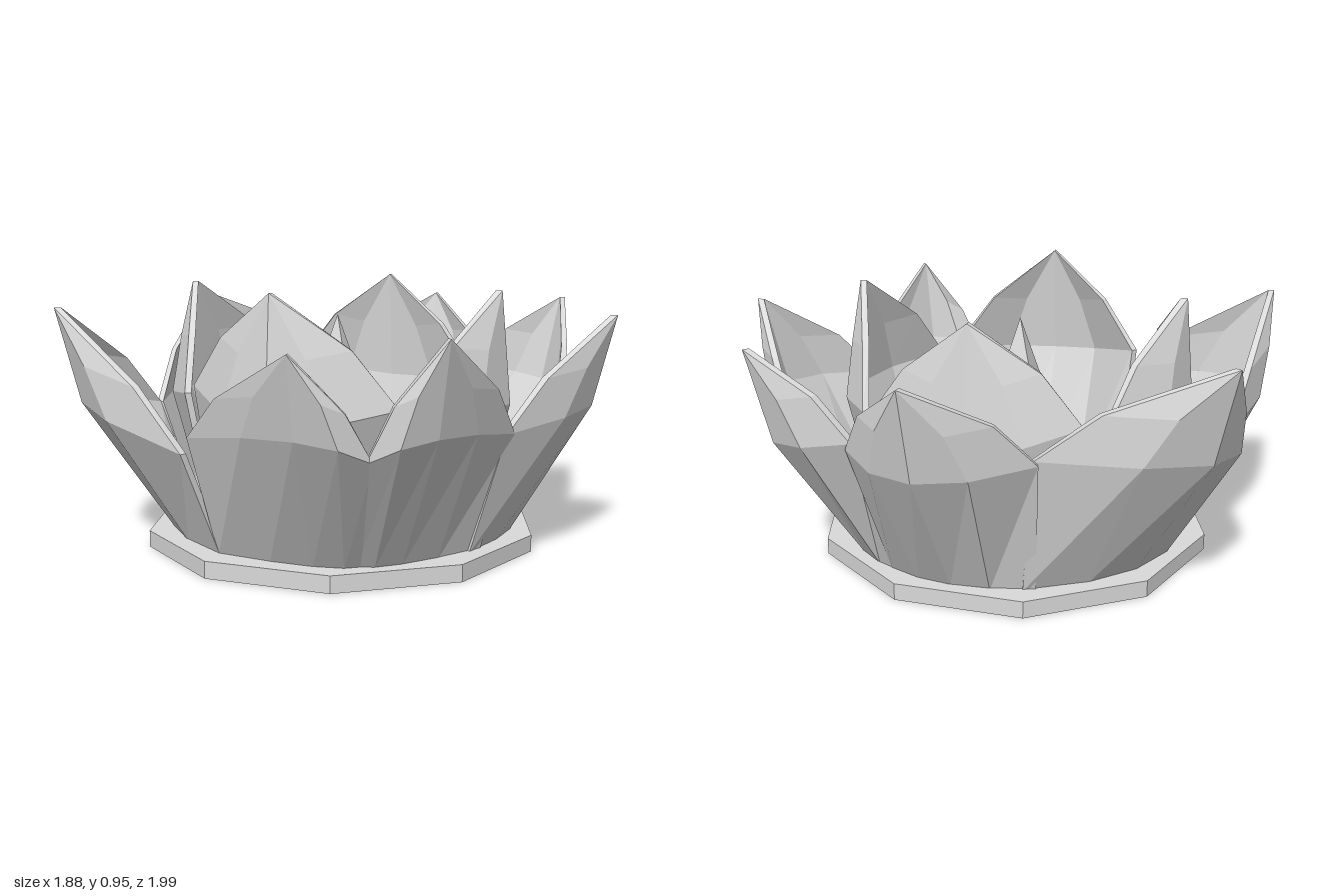
import * as THREE from 'three';

const CX = -0.05; // axis of the flower

// Closed thin petal from a tip and two shoulder corners (a to b runs from +x towards +z)
function petalGeometry({ tip, a, b }, baseR, ridgeScale, bulge) {
  const thickness = 0.024;
  const V = (p) => new THREE.Vector3(...p);
  const T = V(tip), A = V(a), B = V(b);
  const M = new THREE.Vector3(CX + (T.x - CX) * ridgeScale, 0.53, T.z * ridgeScale);
  const foot = (p) => {
    const q = p.clone().lerp(M, -0.04);
    const s = baseR / Math.hypot(q.x - CX, q.z);
    return new THREE.Vector3(CX + (q.x - CX) * s, 0.05, q.z * s);
  };
  const upperM = M.clone().lerp(T, 0.5);
  const upper = (p) => p.clone().lerp(T, 0.5).lerp(upperM, -bulge);
  const rows = [
    [foot(A), foot(M), foot(B)],
    [A, M, B],
    [upper(A), upperM, upper(B)],
    [T, T, T],
  ];
  const cols = [-1, -0.5, 0, 0.5, 1];
  const pos = [], idx = [];
  for (const [p, m, q] of rows) {
    const outer = cols.map((t) => new THREE.Vector3()
      .addScaledVector(p, t * (t - 1) / 2)
      .addScaledVector(m, 1 - t * t)
      .addScaledVector(q, t * (t + 1) / 2));
    const inner = outer.map((v) => {
      const r = Math.hypot(v.x - CX, v.z), s = (r - thickness) / r;
      return new THREE.Vector3(CX + (v.x - CX) * s, v.y, v.z * s);
    }).reverse();
    for (const v of [...outer, ...inner]) pos.push(v.x, v.y, v.z);
  }
  const n = cols.length * 2;
  for (let r = 0; r < rows.length - 1; r++) {
    for (let i = 0; i < n; i++) {
      const j = (i + 1) % n;
      const p = r * n + i, q = r * n + j;
      idx.push(p, p + n, q, q, p + n, q + n);
    }
  }
  const g = new THREE.BufferGeometry();
  g.setAttribute('position', new THREE.Float32BufferAttribute(pos, 3));
  g.setIndex(idx);
  const flat = g.toNonIndexed();
  flat.computeVertexNormals();
  return flat;
}

const outerPetals = [
  { tip: [0.02, 0.85, -1.0], a: [-0.33, 0.55, -0.72], b: [0.3, 0.55, -0.75] },
  { tip: [0.63, 0.86, -0.77], a: [0.28, 0.57, -0.75], b: [0.71, 0.52, -0.35] },
  { tip: [0.94, 0.85, -0.08], a: [0.7, 0.52, -0.37], b: [0.65, 0.48, 0.32] },
  { tip: [0.59, 0.84, 0.79], a: [0.67, 0.48, 0.29], b: [0.34, 0.46, 0.82] },
  { tip: [0.16, 0.8, 0.99], a: [0.36, 0.46, 0.81], b: [-0.31, 0.48, 0.73] },
  { tip: [-0.93, 0.87, 0.54], a: [-0.34, 0.42, 0.72], b: [-0.85, 0.46, 0.0] },
  { tip: [-0.91, 0.86, -0.55], a: [-0.84, 0.46, 0.0], b: [-0.31, 0.56, -0.71] },
];

const innerPetals = [
  { tip: [-0.06, 0.95, -0.59], a: [-0.42, 0.6, -0.48], b: [0.34, 0.56, -0.47] },
  { tip: [0.55, 0.93, 0], a: [0.38, 0.56, -0.42], b: [0.39, 0.56, 0.42] },
  { tip: [-0.03, 0.95, 0.69], a: [0.34, 0.57, 0.5], b: [-0.42, 0.61, 0.47] },
  { tip: [-0.67, 0.94, 0], a: [-0.49, 0.57, 0.41], b: [-0.48, 0.57, -0.42] },
];

export function createModel() {
  const group = new THREE.Group();
  const grey = new THREE.MeshStandardMaterial({ color: 0xdadada, flatShading: true });
  grey.name = 'plain grey';

  const add = (name, geometry, x = 0, y = 0, z = 0) => {
    const mesh = new THREE.Mesh(geometry, grey);
    mesh.name = name;
    mesh.position.set(x, y, z);
    group.add(mesh);
    return mesh;
  };

  // Ten-sided base plate
  add('basePlate', new THREE.CylinderGeometry(0.725, 0.725, 0.06, 10), CX, 0.03, 0.005).rotation.y = Math.PI / 2;

  // Two rings of petals
  outerPetals.forEach((p, i) => add(`outerPetal${i + 1}`, petalGeometry(p, 0.63, 0.92, 0.36)));
  innerPetals.forEach((p, i) => add(`innerPetal${i + 1}`, petalGeometry(p, 0.51, 1.06, 0.25)));

  // Candle, wick and faceted flame
  add('candle', new THREE.CylinderGeometry(0.15, 0.15, 0.4, 8), -0.055, 0.25, 0);
  add('wick', new THREE.CylinderGeometry(0.02, 0.03, 0.14, 4), -0.055, 0.5, 0).rotation.z = 0.08;
  const flameProfile = [[0, 0.53], [0.03, 0.54], [0.085, 0.61], [0, 0.83]]
    .map(([r, y]) => new THREE.Vector2(r, y));
  add('flame', new THREE.LatheGeometry(flameProfile, 4), -0.07, 0, 0).rotation.y = Math.PI / 4;

  return group;
}
